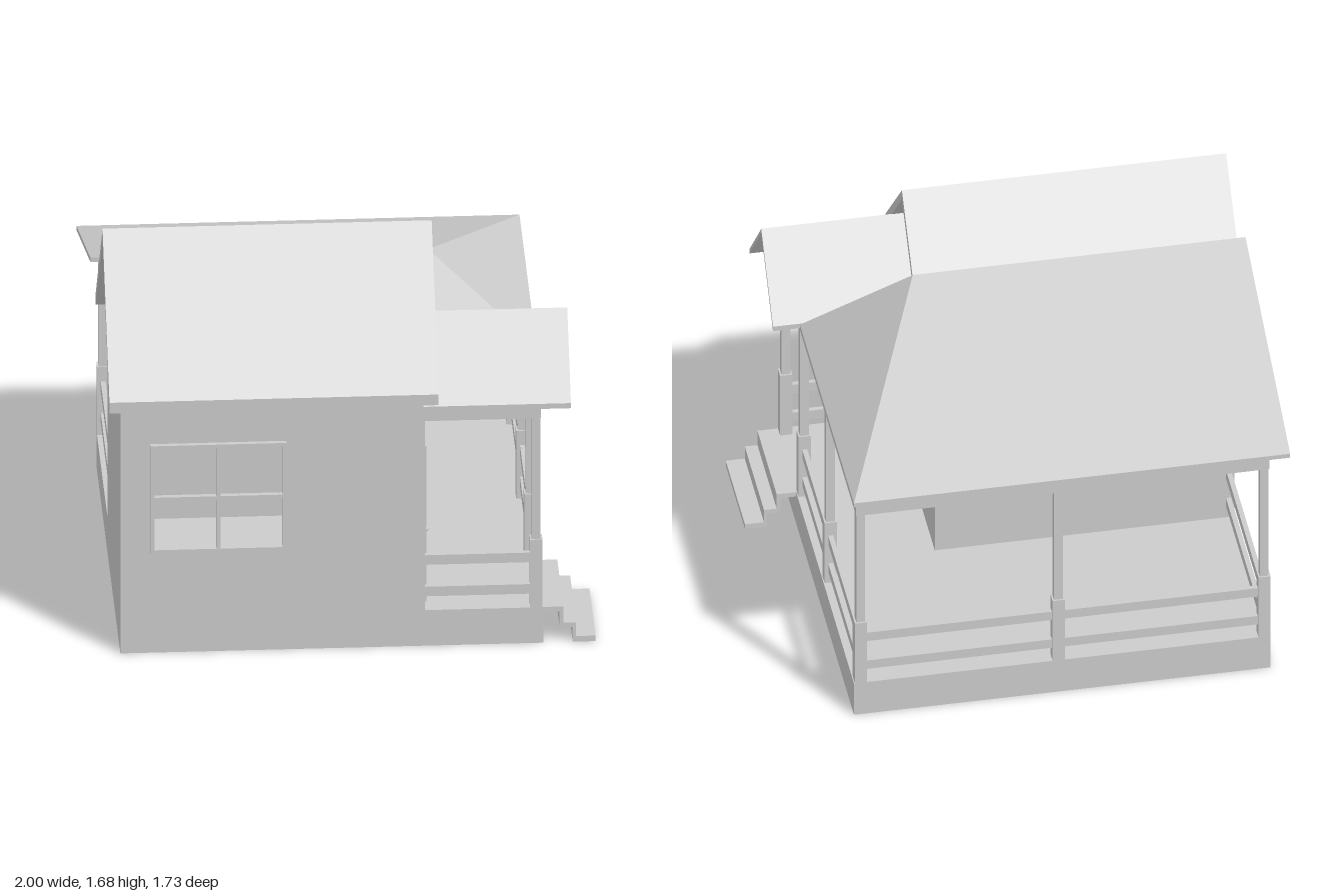
import * as THREE from 'three';

const material = new THREE.MeshStandardMaterial({ color: 0xcccccc, flatShading: true, side: THREE.DoubleSide });

export function createModel() {
  const model = new THREE.Group();
  model.name = 'cottage';

  const add = (name, geometry, parent = model) => {
    const mesh = new THREE.Mesh(geometry, material);
    mesh.name = name;
    parent.add(mesh);
    return mesh;
  };

  // Box given by its limits on each axis
  const box = (name, [x0, x1], [y0, y1], [z0, z1], parent) => {
    const mesh = add(name, new THREE.BoxGeometry(x1 - x0, y1 - y0, z1 - z0), parent);
    mesh.position.set((x0 + x1) / 2, (y0 + y1) / 2, (z0 + z1) / 2);
    return mesh;
  };

  const polygon = (points) => new THREE.Shape(points.map(([x, y]) => new THREE.Vector2(x, y)));
  const rectangle = ([x0, x1], [y0, y1]) => polygon([[x0, y0], [x1, y0], [x1, y1], [x0, y1]]);
  const extrude = (shape, depth) => new THREE.ExtrudeGeometry(shape, { depth, bevelEnabled: false });

  // Profile drawn as (z, y), extruded along x from x0 to x1
  const acrossX = (name, points, x0, x1) => {
    const geometry = extrude(polygon(points.map(([z, y]) => [-z, y])), x1 - x0);
    geometry.rotateY(Math.PI / 2);
    return add(name, geometry.translate(x0, 0, 0));
  };

  // Thin sheet from a convex outline (counter-clockwise from above), thickened downwards
  const slab = (name, top, thickness) => {
    const low = top.map(([x, y, z]) => [x, y - thickness, z]);
    const positions = [];
    const triangle = (...corners) => corners.forEach((c) => positions.push(...c));
    const n = top.length;
    for (let i = 1; i < n - 1; i++) {
      triangle(top[0], top[i], top[i + 1]);
      triangle(low[0], low[i + 1], low[i]);
    }
    for (let i = 0; i < n; i++) {
      const j = (i + 1) % n;
      triangle(top[i], low[i], low[j]);
      triangle(top[i], low[j], top[j]);
    }
    const geometry = new THREE.BufferGeometry();
    geometry.setAttribute('position', new THREE.Float32BufferAttribute(positions, 3));
    geometry.computeVertexNormals();
    return add(name, geometry);
  };

  // Foundation and porch floor
  box('foundation', [-0.92, 0.79], [0, 0.16], [-0.86, 0.845]);

  // Long walls with window openings
  const frontWindow = [[-0.8, -0.25], [0.455, 0.94]];
  const backWindow = [[-0.1, 0.175], [0.49, 0.87]];
  const longWall = (name, opening, z) => {
    const shape = rectangle([-0.92, 0.31], [0.16, 1.09]);
    shape.holes.push(rectangle(...opening));
    add(name, extrude(shape, 0.02)).position.z = z;
  };
  longWall('frontWall', frontWindow, 0.825);
  longWall('backWall', backWindow, -0.06);

  // Gable walls
  const gable = [[-0.06, 0.16], [0.845, 0.16], [0.845, 1.09], [0.37, 1.615], [-0.06, 1.14]];
  acrossX('leftGableWall', gable, -0.92, -0.9);
  acrossX('rightGableWall', gable, 0.29, 0.31);

  // Window frames with crossing bars
  const windowFrame = (name, [[x0, x1], [y0, y1]], z0, z1) => {
    const group = new THREE.Group();
    group.name = name;
    model.add(group);
    const w = 0.016;
    const shape = rectangle([x0, x1], [y0, y1]);
    shape.holes.push(rectangle([x0 + w, x1 - w], [y0 + w, y1 - w]));
    add('frame', extrude(shape, z1 - z0), group).position.z = z0;
    const cx = (x0 + x1) / 2;
    const cy = (y0 + y1) / 2;
    box('uprightBar', [cx - w / 2, cx + w / 2], [y0 + w, y1 - w], [z0 + 0.004, z1 - 0.004], group);
    box('crossBar', [x0 + w, x1 - w], [cy - w / 2, cy + w / 2], [z0 + 0.004, z1 - 0.004], group);
  };
  windowFrame('frontWindow', frontWindow, 0.835, 0.865);
  windowFrame('backWindow', backWindow, -0.075, -0.045);

  // Door with frame, knob and knocker
  acrossX('doorFrame', [[0.765, 0.16], [0.765, 0.86], [0.465, 0.86], [0.465, 0.16],
    [0.49, 0.16], [0.49, 0.82], [0.74, 0.82], [0.74, 0.16]], 0.305, 0.322);
  box('door', [0.305, 0.315], [0.16, 0.82], [0.49, 0.74]);
  const knob = add('doorKnob', new THREE.SphereGeometry(0.011, 12, 8));
  knob.position.set(0.322, 0.465, 0.72);
  const knocker = add('doorKnocker', new THREE.TorusGeometry(0.018, 0.004, 8, 16, Math.PI));
  knocker.rotation.set(Math.PI, Math.PI / 2, 0);
  knocker.position.set(0.324, 0.588, 0.615);
  box('knockerPlate', [0.314, 0.322], [0.585, 0.597], [0.592, 0.638]);

  // Main roof and small entrance roof, each an inverted V
  const vRoof = (name, ridgeZ, ridgeY, halfWidth, eaveY, t, x0, x1) => acrossX(name, [
    [ridgeZ + halfWidth, eaveY], [ridgeZ, ridgeY], [ridgeZ - halfWidth, eaveY],
    [ridgeZ - halfWidth, eaveY - t], [ridgeZ, ridgeY - t], [ridgeZ + halfWidth, eaveY - t]], x0, x1);
  vRoof('mainRoof', 0.37, 1.68, 0.493, 1.14, 0.048, -0.965, 0.365);
  vRoof('entranceRoof', 0.597, 1.385, 0.26, 1.083, 0.023, 0.305, 0.9);

  // Porch roof at the back and right side
  const peak = [0.365, 1.43, 0.13];
  const backCorner = [0.79, 1.08, -0.86];
  const sideEnd = [0.79, 1.08, 0.335];
  slab('backPorchRoof', [[-1, 1.43, 0.13], peak, backCorner, [-1, 1.08, -0.86]], 0.02);
  slab('sidePorchRoof', [peak, sideEnd, backCorner], 0.015);
  slab('sidePorchRoofEnd', [peak, [0.365, 1.08, 0.335], sideEnd], 0.015);

  // Porch posts with thicker feet
  const right = 0.761, left = -0.895, back = -0.835, front = 0.82;
  const posts = [[right, front], [right, 0.41], [right, -0.165], [right, back], [-0.05, back], [left, back]];
  for (const [x, z] of posts) {
    box('postFoot', [x - 0.025, x + 0.025], [0.16, 0.465], [z - 0.025, z + 0.025]);
    box('post', [x - 0.018, x + 0.018], [0.465, 1.01], [z - 0.018, z + 0.018]);
  }

  // Railings: two bars along every open side except the entrance
  for (const y of [[0.215, 0.258], [0.357, 0.4]]) {
    box('frontRail', [0.31, right], y, [front - 0.01, front + 0.01]);
    box('rightRail', [right - 0.01, right + 0.01], y, [back, 0.41]);
    box('backRail', [left, right], y, [back - 0.01, back + 0.01]);
    box('leftRail', [left - 0.01, left + 0.01], y, [back, -0.06]);
  }

  // Beams on top of the posts
  const beamY = [1.01, 1.062];
  box('frontBeam', [0.31, 0.78], beamY, [front - 0.018, front + 0.02]);
  box('rightBeam', [right - 0.018, right + 0.019], beamY, [-0.853, 0.838]);
  box('backBeam', [-0.915, 0.78], beamY, [back - 0.02, back + 0.018]);
  box('leftBeam', [left - 0.018, left + 0.018], beamY, [-0.853, -0.06]);

  // Thin folded entrance steps
  const steps = polygon([[0.785, 0.16], [0.87, 0.16], [0.87, 0.087], [0.922, 0.087], [0.922, 0.025], [1, 0.025],
    [1, 0], [0.908, 0], [0.908, 0.066], [0.855, 0.066], [0.855, 0.138], [0.785, 0.138]]);
  add('steps', extrude(steps, 0.425)).position.z = 0.418;

  return model;
}
